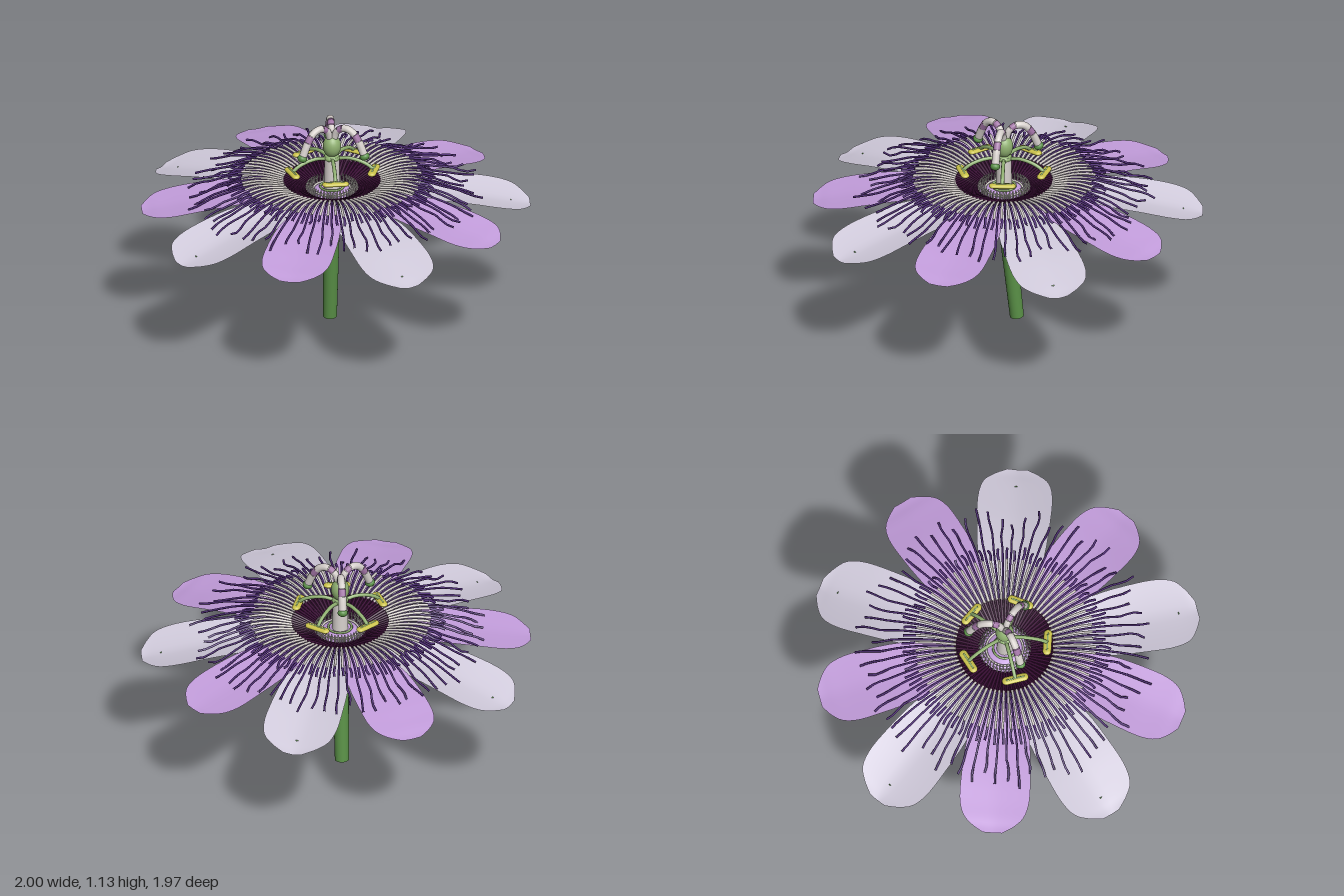
import * as THREE from 'three';
import { mergeGeometries } from 'three/addons/utils/BufferGeometryUtils.js';

const V = (x, y, z = 0) => new THREE.Vector3(x, y, z);
const TAU = Math.PI * 2;

export function createModel() {
  const mat = (name, color, side = THREE.FrontSide) => {
    const m = new THREE.MeshStandardMaterial({ color, side });
    m.name = name;
    return m;
  };
  const lilac = mat('lilac', 0xc39ddc, THREE.DoubleSide);
  const pale = mat('pale lilac', 0xd2ccdd);
  const sepalGreen = mat('sepal green', 0x9cb674);
  const stemGreen = mat('stem green', 0x5a9147, THREE.DoubleSide);
  const lightGreen = mat('light green', 0x8fb070);
  const violet = mat('violet', 0x52307a);
  const maroon = mat('maroon', 0x3d0f38, THREE.DoubleSide);
  const cream = mat('cream', 0xd6d0cc, THREE.DoubleSide);
  const yellow = mat('anther yellow', 0xcac24a);
  const mauve = mat('mauve', 0xa274a6, THREE.DoubleSide);

  const flower = new THREE.Group();
  flower.name = 'flower';
  flower.position.x = -0.02;

  const add = (name, geo, material, parent = flower) => {
    const m = new THREE.Mesh(geo, material);
    m.name = name;
    parent.add(m);
    return m;
  };
  // A group whose +x axis points outward at angle a (x = cos, z = sin)
  const spoke = (name, a) => {
    const g = new THREE.Group();
    g.name = name;
    g.rotation.y = -a;
    flower.add(g);
    return g;
  };
  const tube = (pts, n, r, sides) =>
    new THREE.TubeGeometry(new THREE.CatmullRomCurve3(pts), n, r, sides);
  const lathe = (pts, n = 40) =>
    new THREE.LatheGeometry(pts.map(p => new THREE.Vector2(...p)), n);

  let seed = 7;
  const rand = () => (seed = (seed * 16807) % 2147483647) / 2147483647;

  // Leaf-like sheet along +x; sections are [radius, height, half width]
  function blade(sections, cup, drop = 0, flip = false) {
    const curve = new THREE.CatmullRomCurve3(sections.map(s => V(...s)));
    const rows = 24, cols = 10, pos = [], idx = [];
    for (let i = 0; i <= rows; i++) {
      const s = curve.getPoint(i / rows);
      for (let j = 0; j <= cols; j++) {
        const u = j / cols * 2 - 1;
        pos.push(s.x, s.y + cup * Math.pow(Math.abs(u), 1.4) * s.z / 0.19 - drop, s.z * u);
        if (i < rows && j < cols) {
          const a = i * (cols + 1) + j, b = a + 1, c = a + cols + 1, d = c + 1;
          if (flip) idx.push(a, c, b, b, c, d);
          else idx.push(a, b, c, b, d, c);
        }
      }
    }
    const g = new THREE.BufferGeometry();
    g.setAttribute('position', new THREE.Float32BufferAttribute(pos, 3));
    g.setIndex(idx);
    g.computeVertexNormals();
    return g;
  }

  // Five sepals (pale above, green below, with a horn) and five petals
  const sepal = [[0.08, 0.71, 0.05], [0.3, 0.725, 0.115], [0.5, 0.72, 0.168], [0.7, 0.695, 0.188],
    [0.86, 0.665, 0.19], [0.94, 0.648, 0.166], [0.985, 0.637, 0.115], [1.02, 0.63, 0.05]];
  const petal = [[0.08, 0.735, 0.04], [0.3, 0.75, 0.105], [0.5, 0.745, 0.16], [0.7, 0.72, 0.178],
    [0.83, 0.697, 0.176], [0.9, 0.685, 0.152], [0.945, 0.675, 0.105], [0.978, 0.67, 0.05]];
  const sepalTop = blade(sepal, 0.03), sepalUnder = blade(sepal, 0.03, 0.006, true);
  const petalGeo = blade(petal, 0.012);
  const horn = new THREE.ConeGeometry(0.012, 0.07, 8);
  for (let k = 0; k < 5; k++) {
    const s = spoke('sepal', k * TAU / 5);
    add('sepalTop', sepalTop, pale, s);
    add('sepalUnderside', sepalUnder, sepalGreen, s);
    const h = add('sepalHorn', horn, stemGreen, s);
    h.position.set(0.94, 0.625, 0);
    h.rotation.z = -2.25;
    add('petal', petalGeo, lilac, spoke('petalSpoke', (k + 0.5) * TAU / 5));
  }

  // Corona rings: filaments with a maroon base, then the given colour bands
  function ring(name, count, profile, radius, jitter, offset, bands) {
    const geos = bands.map(() => []);
    for (let k = 0; k < count; k++) {
      const a = (k + offset) * TAU / count;
      const stretch = 1 + (rand() - 0.5) * jitter;
      const pts = profile.map(([r, y], i) => {
        const free = Math.max(0, i - 3);
        const rr = i > 3 ? 0.36 + (r - 0.36) * stretch : r;
        const b = a + (rand() - 0.5) * 0.006 * free;
        return V(rr * Math.cos(b), y + (rand() - 0.5) * 0.006 * free, rr * Math.sin(b));
      });
      bands.forEach(([from, to], i) =>
        geos[i].push(tube(pts.slice(from, to + 1), (to - from) * 2, radius, 5)));
    }
    bands.forEach(([, , m], i) => add(name, mergeGeometries(geos[i]), m));
  }
  ring('longFilaments', 72, [[0.13, 0.745], [0.2, 0.775], [0.26, 0.797], [0.36, 0.818], [0.45, 0.815],
    [0.54, 0.793], [0.62, 0.768], [0.68, 0.748], [0.73, 0.732]], 0.006, 0.28, 0,
  [[0, 2, maroon], [2, 8, violet]]);
  ring('shortFilaments', 72, [[0.13, 0.75], [0.2, 0.78], [0.25, 0.8], [0.33, 0.818], [0.4, 0.822],
    [0.46, 0.813], [0.5, 0.803], [0.53, 0.793]], 0.007, 0.2, 0.5,
  [[0, 2, maroon], [2, 5, cream], [5, 7, violet]]);

  // Throat: maroon bowl, inner dish, ringed membrane and two rows of short threads
  add('coronaBowl', lathe([[0.115, 0.735], [0.17, 0.755], [0.26, 0.785]], 48), maroon);
  add('nectarDish', lathe([[0.03, 0.765], [0.07, 0.76], [0.1, 0.745], [0.125, 0.735]]), lilac);
  [[0.06, lightGreen, 0.768], [0.095, cream, 0.755]].forEach(([r, m, y]) => {
    add('throatRing', new THREE.TorusGeometry(r, 0.006, 6, 40).rotateX(Math.PI / 2), m).position.y = y;
  });
  const threads = [];
  for (let k = 0; k < 80; k++) {
    const a = k * TAU / 80, r = k % 2 ? 0.128 : 0.112;
    const at = (dr, y) => V((r + dr) * Math.cos(a), y, (r + dr) * Math.sin(a));
    threads.push(tube([at(0, 0.74), at(0.005, 0.765), at(-0.005, 0.785)], 3, 0.004, 5));
  }
  add('innerThreads', mergeGeometries(threads), cream);

  // Receptacle cup and leaning stem
  add('receptacle', lathe([[0, 0.635], [0.05, 0.638], [0.09, 0.655], [0.12, 0.685], [0.13, 0.72], [0, 0.735]]), stemGreen);
  const foot = V(-0.004, 0.002, -0.07), head = V(0, 0.67, 0);
  const dir = head.clone().sub(foot);
  const stem = add('stem', new THREE.CylinderGeometry(0.044, 0.036, dir.length(), 24), stemGreen);
  stem.position.copy(foot).add(head).multiplyScalar(0.5);
  stem.quaternion.setFromUnitVectors(V(0, 1), dir.normalize());

  // Three cupped bracts under the flower
  const bract = blade([[0.03, 0.6, 0.03], [0.09, 0.585, 0.085], [0.15, 0.592, 0.1],
    [0.21, 0.615, 0.075], [0.25, 0.64, 0.035], [0.265, 0.655, 0.004]], 0.035);
  for (const a of [30, 150, 270]) add('bract', bract, stemGreen, spoke('bractSpoke', a * Math.PI / 180));

  // Central column and ovary
  add('column', new THREE.CylinderGeometry(0.038, 0.043, 0.23, 24), cream).position.y = 0.825;
  add('columnCollar', new THREE.SphereGeometry(0.043, 20, 12).scale(1, 0.5, 1), lightGreen).position.y = 0.93;
  const ovary = add('ovary', new THREE.SphereGeometry(0.047, 24, 16), lightGreen);
  ovary.scale.y = 1.28;
  ovary.position.y = 0.995;

  // Five stamens with crosswise anthers, each with a thin green seam
  const stalk = tube([V(0.02, 0.925), V(0.08, 0.936), V(0.14, 0.928), V(0.19, 0.908), V(0.215, 0.888)], 16, 0.01, 8);
  const anther = new THREE.CapsuleGeometry(0.022, 0.095, 8, 16).rotateX(Math.PI / 2).scale(1, 0.55, 1);
  const seam = new THREE.CapsuleGeometry(0.005, 0.09, 4, 8).rotateX(Math.PI / 2);
  for (let k = 0; k < 5; k++) {
    const s = spoke('stamen', Math.PI / 2 + k * TAU / 5);
    add('stamenStalk', stalk, lightGreen, s);
    add('anther', anther, yellow, s).position.set(0.22, 0.88, 0);
    add('antherSeam', seam, lightGreen, s).position.set(0.22, 0.889, 0);
  }

  // Three arching styles with mauve bands and green stigmas
  const arch = new THREE.CatmullRomCurve3([V(0.012, 1.04), V(0.03, 1.085), V(0.07, 1.108),
    V(0.115, 1.095), V(0.15, 1.05), V(0.18, 0.985)]);
  const piece = (t0, t1, r) => {
    const pts = [];
    for (let i = 0; i <= 4; i++) pts.push(arch.getPointAt(t0 + (t1 - t0) * i / 4));
    return tube(pts, 8, r, 10);
  };
  const parts = [[0, 0.22, cream], [0.22, 0.32, mauve], [0.32, 0.6, cream], [0.6, 0.74, mauve], [0.74, 1, cream]];
  for (const a of [30, 150, 270]) {
    const s = spoke('style', a * Math.PI / 180);
    for (const [t0, t1, m] of parts) add('styleSegment', piece(t0, t1, 0.017 + 0.004 * t1), m, s);
    const stigma = add('stigma', new THREE.SphereGeometry(0.026, 16, 12).scale(1, 0.8, 1), stemGreen, s);
    stigma.position.set(0.185, 0.972, 0);
    stigma.rotation.z = 0.4;
  }

  const model = new THREE.Group();
  model.name = 'passionFlower';
  model.add(flower);
  return model;
}
